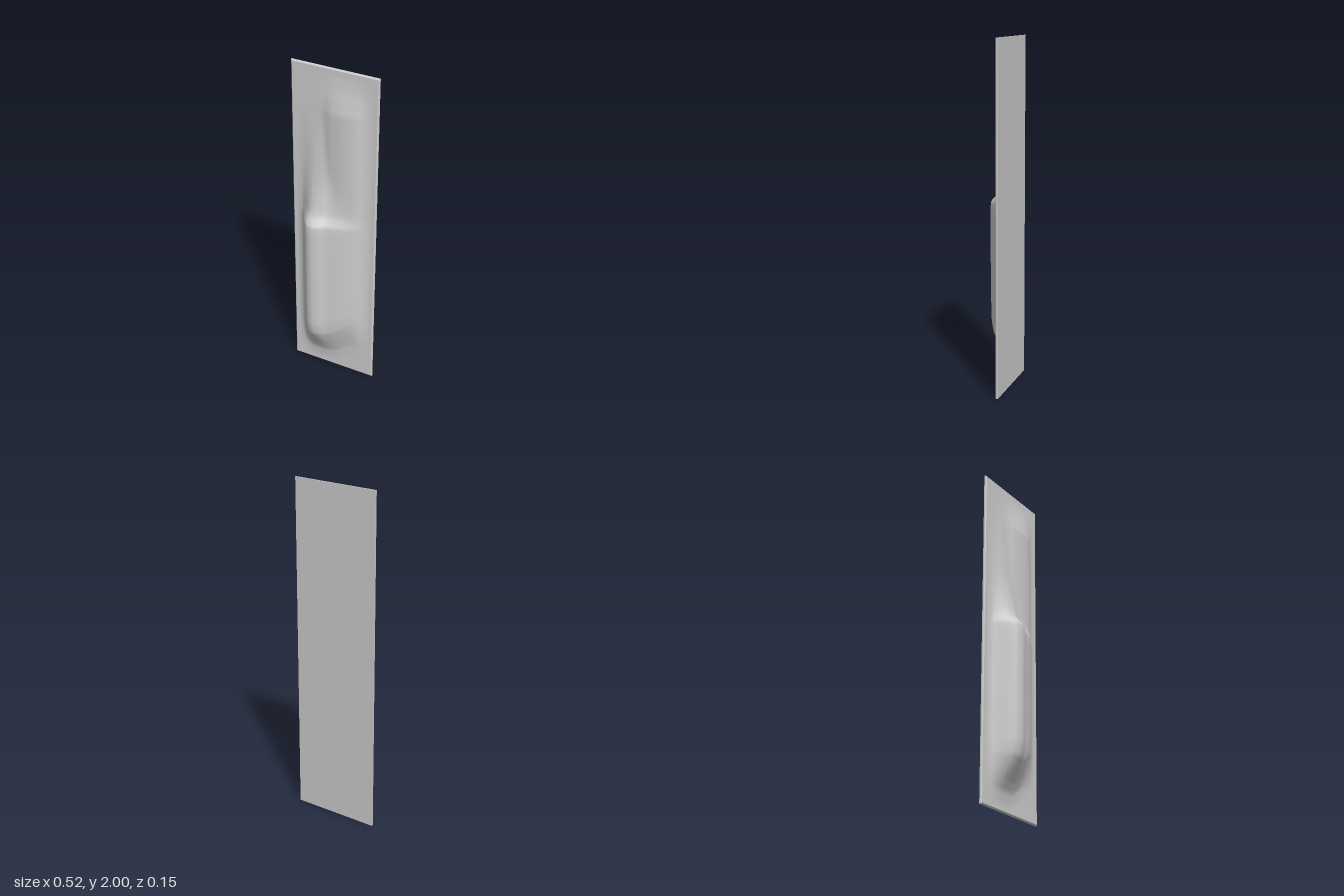
import * as THREE from 'three';

const WIDTH = 0.524, HEIGHT = 2, THICK = 0.014, BACK = -0.076;

// Smooth cubic interpolation through [position, value] pairs
function profile(points) {
  const slope = (i) => {
    if (i === 0 || i === points.length - 1) return 0;
    const [a, b, c] = [points[i - 1], points[i], points[i + 1]];
    const s = (b[1] - a[1]) / (b[0] - a[0]), t = (c[1] - b[1]) / (c[0] - b[0]);
    return s * t <= 0 ? 0 : (2 * s * t) / (s + t);
  };
  return (p) => {
    if (p <= points[0][0]) return points[0][1];
    for (let i = 0; i < points.length - 1; i++) {
      const [x0, v0] = points[i], [x1, v1] = points[i + 1];
      if (p > x1) continue;
      const d = x1 - x0, t = (p - x0) / d, t2 = t * t, t3 = t2 * t;
      return (2 * t3 - 3 * t2 + 1) * v0 + (t3 - 2 * t2 + t) * d * slope(i)
        + (3 * t2 - 2 * t3) * v1 + (t3 - t2) * d * slope(i + 1);
    }
    return points[points.length - 1][1];
  };
}

// Lower ridge: cross-section, and how strongly it stands out along the height
const ridgeAcross = profile([[-0.235, 0], [-0.2, 0.012], [-0.17, 0.05], [-0.14, 0.096],
  [-0.11, 0.127], [-0.08, 0.135], [-0.05, 0.129], [0, 0.1], [0.05, 0.083], [0.1, 0.063],
  [0.15, 0.038], [0.2, 0.008], [0.235, 0]]);
const ridgeAlong = profile([[0.02, 0], [0.1, 0.07], [0.15, 0.24], [0.2, 0.46], [0.25, 0.68],
  [0.3, 0.86], [0.38, 0.95], [0.6, 0.98], [1, 1], [1.06, 0.97], [1.085, 0.83], [1.12, 0.63],
  [1.2, 0.46], [1.3, 0.31], [1.4, 0.21], [1.6, 0.1], [1.9, 0]]);

// Shallow upper swelling, set toward the left side
const swellAcross = profile([[-0.21, 0], [-0.07, 0.01], [0, 0.03], [0.07, 0.037],
  [0.13, 0.031], [0.2, 0.005], [0.235, 0]]);
const swellAlong = profile([[0.15, 0], [0.4, 1], [1.4, 1.05], [1.74, 0.95], [1.8, 0.68],
  [1.9, 0.17], [1.97, 0]]);

function relief(x, y) {
  // The foot of the ridge starts a little higher on the left side
  const lift = 0.09 * THREE.MathUtils.smoothstep(x, -0.02, 0.16)
    * (1 - THREE.MathUtils.smoothstep(y, 0.4, 0.9));
  const ridge = ridgeAcross(x) * ridgeAlong(y - lift);
  const swell = swellAcross(x) * swellAlong(y);
  return Math.pow(ridge ** 5 + swell ** 5, 0.2);
}

export function createModel() {
  const group = new THREE.Group();
  group.name = 'reliefPanel';

  // Thin slab whose front face is raised into the relief
  const geometry = new THREE.BoxGeometry(WIDTH, HEIGHT, THICK, 72, 200, 4);
  geometry.translate(0, HEIGHT / 2, BACK + THICK / 2);
  const pos = geometry.attributes.position;
  for (let i = 0; i < pos.count; i++) {
    const x = pos.getX(i), y = pos.getY(i), z = pos.getZ(i);
    const depth = (z - BACK) / THICK;
    // Rounded front rim
    const inset = 0.006 * Math.max(0, depth * 2 - 1) ** 2;
    const nx = x * (1 - inset / (WIDTH / 2));
    const ny = 1 + (y - 1) * (1 - inset);
    pos.setXYZ(i, nx, ny, depth > 0.99 ? z + relief(nx, ny) : z);
  }
  geometry.computeVertexNormals();

  const panel = new THREE.Mesh(geometry, new THREE.MeshStandardMaterial({ color: 0xcccccc }));
  panel.name = 'panel';
  group.add(panel);
  return group;
}
